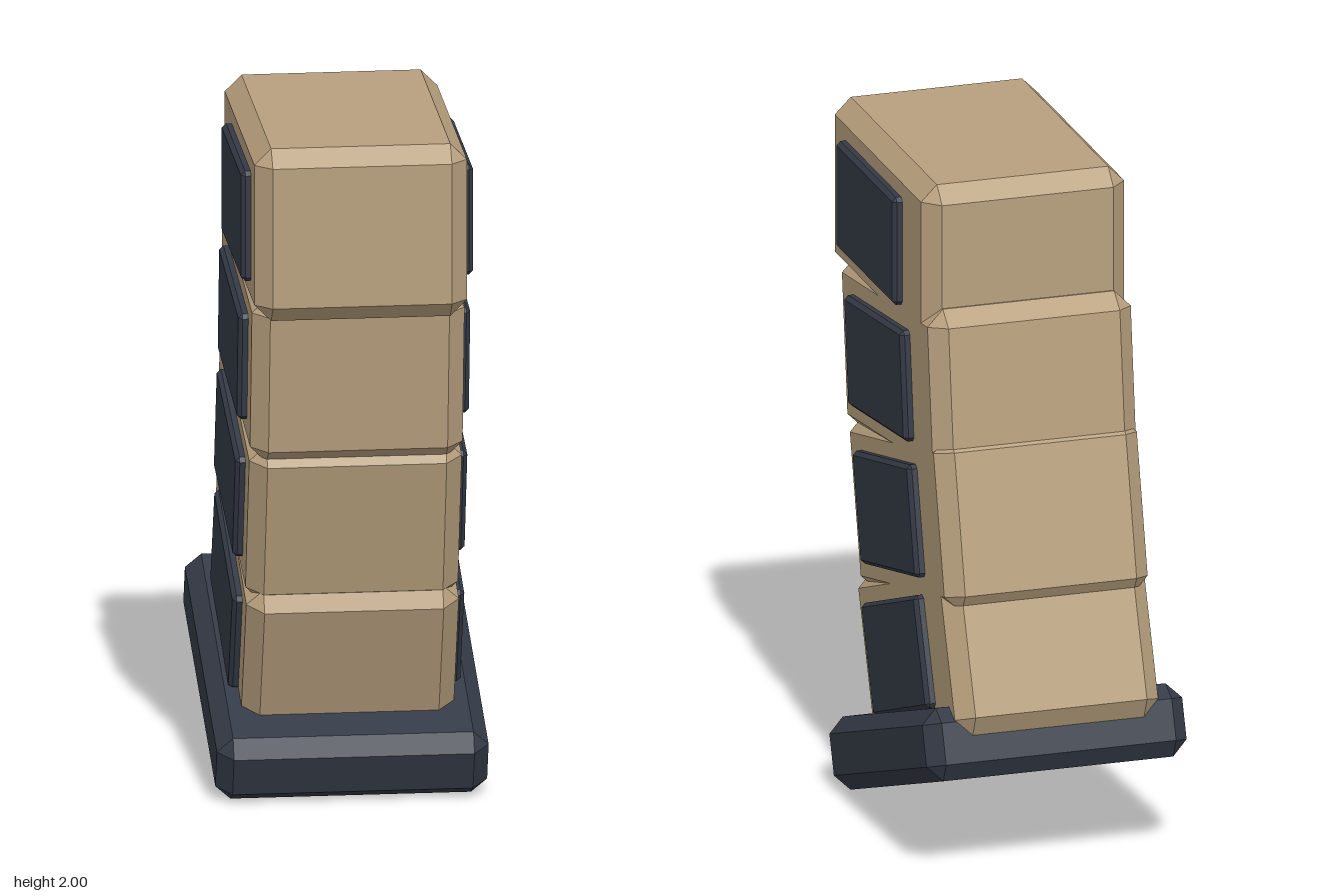
import * as THREE from 'three';
import { ConvexGeometry } from 'three/addons/geometries/ConvexGeometry.js';

const tan = new THREE.MeshStandardMaterial({ color: 0xb8a07e });
tan.name = 'tan';
const slate = new THREE.MeshStandardMaterial({ color: 0x343a46 });
slate.name = 'dark slate';

// Box with every edge and corner cut by a flat chamfer c
function chamferBox(w, h, d, c) {
  const half = [w / 2, h / 2, d / 2];
  const points = [];
  for (const sx of [-1, 1]) for (const sy of [-1, 1]) for (const sz of [-1, 1]) {
    for (let full = 0; full < 3; full++) {
      const p = half.map((v, i) => (i === full ? v : v - c));
      points.push(new THREE.Vector3(sx * p[0], sy * p[1], sz * p[2]));
    }
  }
  return new ConvexGeometry(points);
}

function addMesh(parent, name, geometry, material, x, y, z) {
  const mesh = new THREE.Mesh(geometry, material);
  mesh.name = name;
  mesh.position.set(x, y, z);
  parent.add(mesh);
  return mesh;
}

export function createModel() {
  const model = new THREE.Group();
  model.name = 'curvedStack';

  const blockGeometry = chamferBox(0.61, 0.51, 0.89, 0.048);
  const panelGeometry = chamferBox(0.06, 0.325, 0.535, 0.012);

  // Four blocks along a curve: panel centre y, z and tilt in degrees
  const segments = [
    [1.745, 0.195, 0],
    [1.335, 0.106, 7],
    [0.924, 0.016, 14],
    [0.526, -0.073, 21],
  ];
  segments.forEach(([y, z, tilt], i) => {
    const segment = new THREE.Group();
    segment.name = `segment${i + 1}`;
    segment.position.set(0, y, z);
    segment.rotation.x = THREE.MathUtils.degToRad(tilt);
    addMesh(segment, 'block', blockGeometry, tan, 0, 0, -0.04);
    // Raised side panels
    addMesh(segment, 'leftPanel', panelGeometry, slate, 0.303, 0, 0);
    addMesh(segment, 'rightPanel', panelGeometry, slate, -0.303, 0, 0);
    model.add(segment);
  });

  // Wider base plate
  const base = addMesh(model, 'basePlate', chamferBox(0.78, 0.21, 1.0, 0.045), slate, 0, 0.258, -0.108);
  base.rotation.x = THREE.MathUtils.degToRad(20);

  return model;
}
